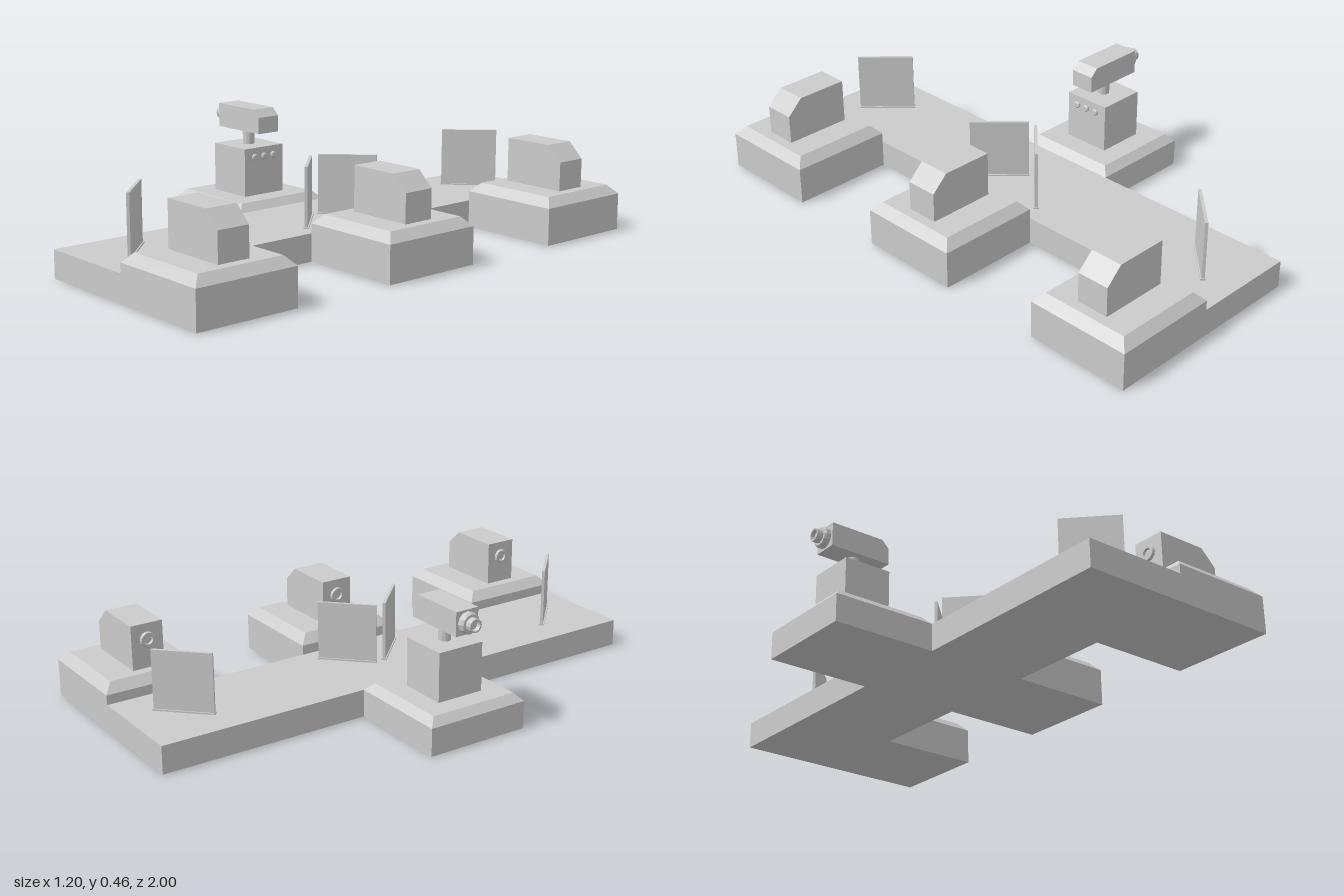
import * as THREE from 'three';

const material = new THREE.MeshStandardMaterial({ color: 0xcccccc, flatShading: true });

function add(parent, name, geometry, x = 0, y = 0, z = 0) {
  const mesh = new THREE.Mesh(geometry, material);
  mesh.name = name;
  mesh.position.set(x, y, z);
  parent.add(mesh);
  return mesh;
}

function group(parent, name, x = 0, y = 0, z = 0) {
  const g = new THREE.Group();
  g.name = name;
  g.position.set(x, y, z);
  parent.add(g);
  return g;
}

// Side outline in x/y, extruded symmetrically along z
function prism(points, depth) {
  const shape = new THREE.Shape(points.map(([x, y]) => new THREE.Vector2(x, y)));
  return new THREE.ExtrudeGeometry(shape, { depth, bevelEnabled: false }).translate(0, 0, -depth / 2);
}

// Box outline whose upper +x corner is cut off
const chamferedBox = (x0, x1, y0, y1, cutX, cutY, depth) =>
  prism([[x0, y0], [x1, y0], [x1, cutY], [cutX, y1], [x0, y1]], depth);

// Turned part around the x axis; profile is [radius, distance towards -x]
function turned(profile, sides) {
  return new THREE.LatheGeometry(profile.map(([r, d]) => new THREE.Vector2(r, d)), sides)
    .rotateZ(Math.PI / 2);
}

// Square plinth with a sloped rim
function addPlinth(parent, height, rimTop, topHalf) {
  add(parent, 'plinth', new THREE.BoxGeometry(0.4, height, 0.4), 0, height / 2, 0);
  const rim = new THREE.CylinderGeometry(topHalf * Math.SQRT2, 0.2 * Math.SQRT2, rimTop - height, 4)
    .rotateY(Math.PI / 4);
  add(parent, 'slopedRim', rim, 0, (height + rimTop) / 2, 0);
}

export function createModel() {
  const model = new THREE.Group();
  model.name = 'mirrorBench';

  add(model, 'platform', new THREE.BoxGeometry(0.4, 0.103, 2), 0, 0.0515, 0);

  // Three emitter stations on the +x side
  for (const z of [-0.8, 0, 0.8]) {
    const station = group(model, 'emitterStation', 0.4, 0, z);
    addPlinth(station, 0.139, 0.173, 0.167);
    add(station, 'emitterHousing', chamferedBox(-0.13, 0.129, 0.173, 0.34, 0.068, 0.282, 0.123));
    add(station, 'emitterLens',
      turned([[0.029, 0], [0.029, 0.006], [0.026, 0.01], [0.018, 0.01], [0.015, 0.003], [0, 0.003]], 16),
      -0.13, 0.28, 0);
  }

  // Viewer station on the -x side
  const viewer = group(model, 'viewerStation', -0.4, 0, 0);
  addPlinth(viewer, 0.103, 0.132, 0.172);
  add(viewer, 'post', new THREE.BoxGeometry(0.185, 0.183, 0.185), -0.002, 0.2235, 0);
  add(viewer, 'neck', new THREE.CylinderGeometry(0.0225, 0.0225, 0.06, 12), -0.002, 0.343, 0);
  add(viewer, 'viewerBody', chamferedBox(-0.124, 0.119, 0.372, 0.462, 0.09, 0.434, 0.094));
  add(viewer, 'viewerLens',
    turned([[0.039, 0], [0.039, 0.018], [0.034, 0.024], [0.025, 0.024], [0.025, 0.048],
      [0.019, 0.048], [0.016, 0.034], [0, 0.034]], 12),
    -0.124, 0.417, 0);
  for (const z of [-0.045, 0, 0.045]) {
    add(viewer, 'knob',
      turned([[0, -0.01], [0.009, -0.01], [0.013, -0.007], [0.013, 0]], 10), 0.0905, 0.28, z);
  }

  // Upright mirrors at 45 degrees: [x, z, turn direction]
  for (const [x, z, turn] of [[-0.003, -0.808, 1], [0.061, -0.094, 1], [0.061, 0.094, -1], [-0.003, 0.804, -1]]) {
    const mirror = group(model, 'mirror', x, 0.103, z);
    mirror.rotation.y = turn * Math.PI / 4;
    add(mirror, 'mirrorPlate', new THREE.BoxGeometry(0.216, 0.224, 0.011), 0, 0.112, 0);
    add(mirror, 'mirrorFoot', new THREE.BoxGeometry(0.22, 0.006, 0.02), 0, 0.003, 0);
  }

  return model;
}
